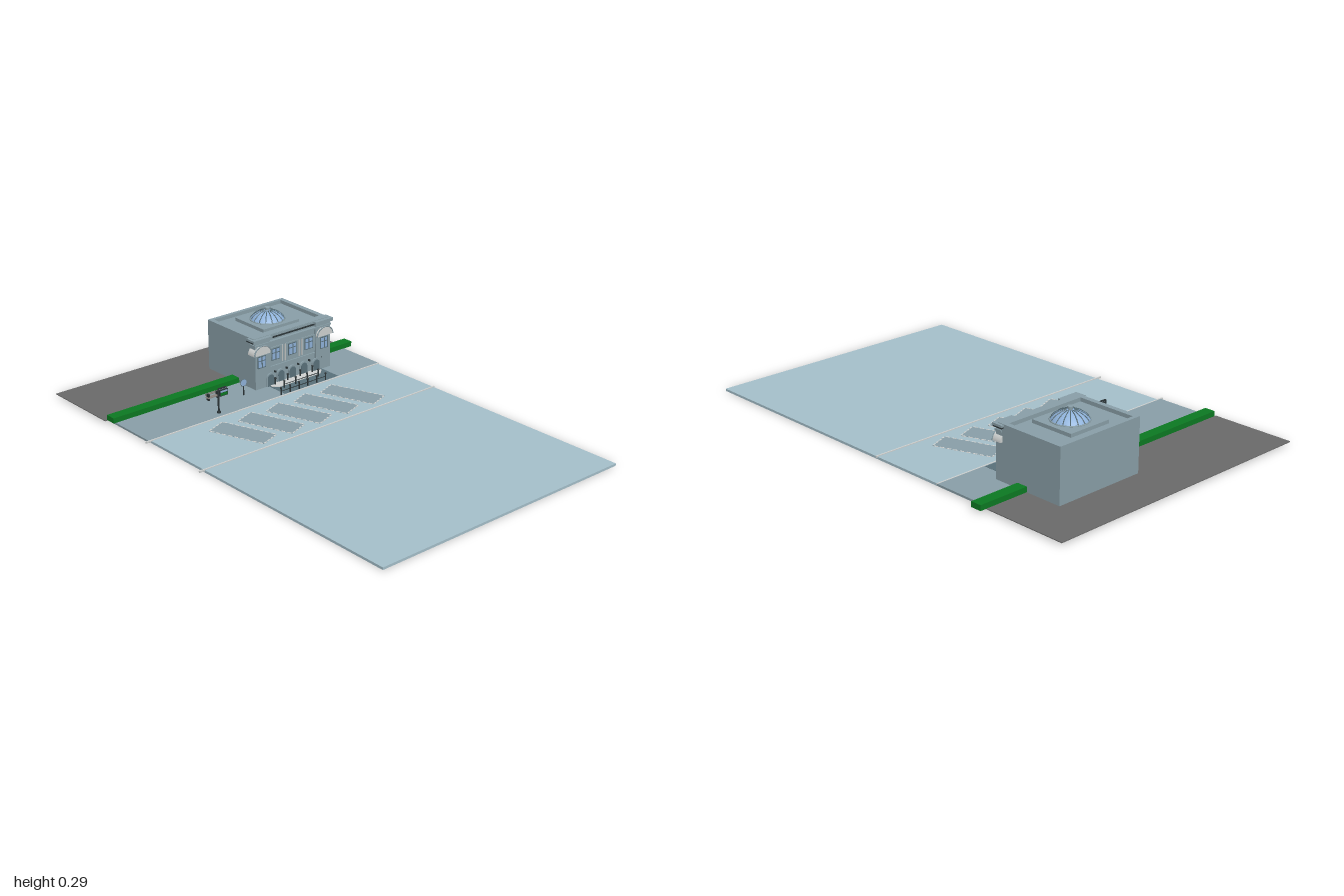
import * as THREE from 'three';

const mat = (name, color, side = THREE.FrontSide) => {
  const m = new THREE.MeshStandardMaterial({ color, side });
  m.name = name;
  return m;
};

export function createModel() {
  const road = mat('road', 0xa6c1cc), stone = mat('stone', 0x8aa0a9), asphalt = mat('asphalt', 0x6b6b6b);
  const green = mat('hedge green', 0x0c7a22), pale = mat('pale', 0xd0d3d2), dark = mat('dark metal', 0x2c3538);
  const glass = mat('glass', 0x8fb2da), shade = mat('shadowed opening', 0x5a717b), wood = mat('bench slats', 0x8c8680);

  const root = new THREE.Group();
  root.name = 'stationSquare';
  const add = (name, geo, m, x = 0, y = 0, z = 0, parent = root) => {
    const mesh = new THREE.Mesh(geo, m);
    mesh.name = name;
    mesh.position.set(x, y, z);
    parent.add(mesh);
    return mesh;
  };
  // Box given by its limits on each axis
  const box = (name, m, x0, x1, y0, y1, z0, z1, parent = root) =>
    add(name, new THREE.BoxGeometry(x1 - x0, y1 - y0, z1 - z0), m, (x0 + x1) / 2, (y0 + y1) / 2, (z0 + z1) / 2, parent);
  const group = (name) => {
    const g = new THREE.Group();
    g.name = name;
    root.add(g);
    return g;
  };
  const post = (name, m, x, y0, y1, z, r, parent) =>
    add(name, new THREE.CylinderGeometry(r, r, y1 - y0, 8), m, x, (y0 + y1) / 2, z, parent);
  // Upright plate with a round-arched head, standing on its origin
  const archGeo = (w, h, d) => {
    const s = new THREE.Shape();
    s.moveTo(-w / 2, 0);
    s.lineTo(w / 2, 0);
    s.lineTo(w / 2, h - w / 2);
    s.absarc(0, h - w / 2, w / 2, 0, Math.PI, false);
    s.closePath();
    return new THREE.ExtrudeGeometry(s, { depth: d, bevelEnabled: false, curveSegments: 10 });
  };

  // Ground
  box('roadSlab', road, -0.63, 0.6, 0, 0.01, -0.87, 1);
  box('sidewalk', stone, -0.64, 0.605, 0.004, 0.0125, -0.63, -0.35);
  box('rearLot', asphalt, -0.66, 0.62, 0.009, 0.0125, -1, -0.63);
  for (const z of [-0.35, 0]) box('curb', pale, -0.655, 0.605, 0.006, 0.0135, z - 0.003, z + 0.003);
  box('hedge', green, -0.65, 0.65, 0.012, 0.035, -0.63, -0.582);

  // Slanted parking bays with dashed borders
  for (let i = 0; i < 5; i++) {
    const bay = group('parkingBay');
    bay.position.set(-0.308 + i * 0.148, 0.0095, -0.17);
    bay.rotation.y = 0.36;
    const w = 0.102, l = 0.255;
    box('bayFloor', stone, -w / 2, w / 2, 0, 0.0015, -l / 2, l / 2, bay);
    for (const s of [-1, 1]) {
      for (let k = 0; k < 9; k++) {
        const z = -l / 2 + (k + 0.5) * l / 9;
        box('dash', pale, s * w / 2 - 0.003, s * w / 2 + 0.003, 0, 0.002, z - 0.009, z + 0.009, bay);
      }
      for (let k = 0; k < 4; k++) {
        const x = -w / 2 + (k + 0.5) * w / 4;
        box('dash', pale, x - 0.008, x + 0.008, 0, 0.002, s * l / 2 - 0.003, s * l / 2 + 0.003, bay);
      }
    }
  }

  // Building walls: main block and two projecting wings
  const b = group('building');
  box('mainBlock', stone, 0, 0.42, 0.012, 0.226, -0.795, -0.478, b);
  for (const x of [0, 0.338]) box('wing', stone, x, x + 0.082, 0.012, 0.226, -0.5, -0.468, b);
  box('stringCourse', stone, 0.082, 0.338, 0.091, 0.097, -0.48, -0.472, b);
  box('frieze', stone, -0.004, 0.424, 0.208, 0.216, -0.5, -0.464, b);
  box('frontCornice', stone, -0.012, 0.432, 0.226, 0.24, -0.51, -0.476, b);
  for (const x of [-0.012, 0.332]) box('wingCornice', stone, x, x + 0.1, 0.226, 0.24, -0.476, -0.46, b);
  box('corniceShadowLine', dark, -0.014, 0.434, 0.227, 0.231, -0.511, -0.468, b);

  // Parapet and roof centre
  box('parapetLeft', stone, 0.398, 0.42, 0.226, 0.242, -0.795, -0.478, b);
  box('parapetRight', stone, 0, 0.022, 0.226, 0.242, -0.795, -0.478, b);
  box('parapetBack', stone, 0.022, 0.398, 0.226, 0.242, -0.795, -0.778, b);
  box('parapetFront', stone, 0.022, 0.398, 0.226, 0.242, -0.515, -0.478, b);
  box('domeBase', stone, 0.107, 0.307, 0.226, 0.241, -0.738, -0.542, b);

  // Glass dome with ribs
  const dome = group('dome');
  dome.position.set(0.207, 0.24, -0.638);
  const profile = [[0.076, 0], [0.07, 0.01], [0.056, 0.023], [0.036, 0.034], [0.014, 0.04], [0, 0.041]];
  const domeGeo = new THREE.LatheGeometry(profile.map(([r, y]) => new THREE.Vector2(r, y)), 32);
  add('domeGlass', domeGeo, glass, 0, 0, 0, dome);
  const ribPath = new THREE.CatmullRomCurve3(profile.slice(0, 5).map(([r, y]) => new THREE.Vector3(r, y, 0)));
  const ribGeo = new THREE.TubeGeometry(ribPath, 8, 0.0022, 5);
  for (let i = 0; i < 16; i++) add('domeRib', ribGeo, shade, 0, 0, 0, dome).rotation.y = i * Math.PI / 8;
  add('domeRing', new THREE.TorusGeometry(0.076, 0.003, 6, 32), stone, 0, 0.002, 0, dome).rotation.x = Math.PI / 2;
  post('finial', stone, 0, 0.036, 0.05, 0, 0.01, dome);
  post('finialCap', stone, 0, 0.05, 0.054, 0, 0.013, dome);

  // Windows with frame, panes and glazing bars
  const sashWindow = (x, y, w, h, z) => {
    box('windowFrame', shade, x - w / 2 - 0.004, x + w / 2 + 0.004, y - 0.004, y + h + 0.004, z - 0.003, z + 0.002, b);
    box('windowGlass', glass, x - w / 2, x + w / 2, y, y + h, z, z + 0.003, b);
    box('windowBar', shade, x - 0.002, x + 0.002, y, y + h, z, z + 0.005, b);
    box('windowBar', shade, x - w / 2, x + w / 2, y + h * 0.62, y + h * 0.62 + 0.003, z, z + 0.005, b);
  };
  for (const x of [0.116, 0.209, 0.302]) {
    box('windowSurround', stone, x - 0.039, x + 0.039, 0.104, 0.182, -0.48, -0.474, b);
    for (const s of [-1, 1]) box('surroundTrim', pale, x + s * 0.038 - 0.0015, x + s * 0.038 + 0.0015, 0.104, 0.18, -0.48, -0.4725, b);
    sashWindow(x, 0.126, 0.038, 0.046, -0.474);
  }

  // Arched hoods over the wing windows
  for (const x of [0.034, 0.384]) {
    const hood = new THREE.Shape();
    hood.absellipse(0, 0, 0.046, 0.04, 0, Math.PI, false, 0);
    hood.closePath();
    const geo = new THREE.ExtrudeGeometry(hood, { depth: 0.044, bevelEnabled: false, curveSegments: 16 });
    add('wingHood', geo, pale, x, 0.169, -0.502, b);
    const rim = add('hoodRim', new THREE.TorusGeometry(0.045, 0.003, 5, 20, Math.PI), stone, x, 0.169, -0.459, b);
    rim.scale.y = 0.9;
    sashWindow(x, 0.111, 0.036, 0.046, -0.468);
  }

  // Ground floor arches with small wall lamps above
  for (let i = 0; i < 5; i++) {
    const x = 0.08 + i * 0.0645, z = i % 4 ? -0.478 : -0.47;
    add('archSurround', archGeo(0.044, 0.06, 0.006), stone, x, 0.012, z, b);
    add('archOpening', archGeo(0.034, 0.053, 0.008), shade, x, 0.012, z, b);
    box('wallLamp', dark, x + 0.029, x + 0.034, 0.064, 0.072, -0.479, -0.468, b);
  }

  // Terrace: dark paving, pale landing and bollards with rails
  const t = group('terrace');
  box('terracePaving', shade, 0.07, 0.37, 0.012, 0.0135, -0.478, -0.358, t);
  const landing = new THREE.Shape([[0.075, 0.475], [0.355, 0.475], [0.355, 0.45], [0.33, 0.427], [0.1, 0.427], [0.075, 0.45]]
    .map(([x, y]) => new THREE.Vector2(x, y)));
  const landingGeo = new THREE.ExtrudeGeometry(landing, { depth: 0.004, bevelEnabled: false });
  add('landing', landingGeo.rotateX(-Math.PI / 2), pale, 0, 0.0125, 0, t);
  const rows = [[-0.36, 0.05, 0.05, 6], [-0.41, 0.11, 0.064, 4], [-0.459, 0.1, 0.07, 4]];
  for (const [z, x0, step, n] of rows) {
    for (let i = 0; i < n; i++) {
      post('bollard', dark, x0 + i * step, 0.012, 0.044, z, 0.0032, t);
      add('bollardCap', new THREE.SphereGeometry(0.005, 8, 6), dark, x0 + i * step, 0.044, z, t);
    }
    if (z > -0.45) box('rail', dark, x0, x0 + (n - 1) * step, 0.028, 0.0305, z - 0.001, z + 0.001, t);
  }

  // Street lamp with hanging sign
  const lamp = group('lampPost');
  post('lampPole', dark, -0.263, 0.012, 0.12, -0.385, 0.004, lamp);
  post('lampFoot', dark, -0.263, 0.012, 0.02, -0.385, 0.008, lamp);
  box('lampArm', dark, -0.263, -0.222, 0.117, 0.122, -0.388, -0.382, lamp);
  box('signBoard', dark, -0.257, -0.216, 0.084, 0.112, -0.389, -0.381, lamp);
  for (const z of [-0.3898, -0.3812]) {
    box('signLower', green, -0.254, -0.219, 0.087, 0.099, z, z + 0.001, lamp);
    box('signUpper', glass, -0.254, -0.219, 0.101, 0.109, z, z + 0.001, lamp);
  }

  // Round sign
  const sign = group('roundSign');
  post('signPole', dark, -0.07, 0.012, 0.056, -0.463, 0.0025, sign);
  add('signDisc', new THREE.CylinderGeometry(0.015, 0.015, 0.004, 20), glass, -0.07, 0.069, -0.463, sign).rotation.x = Math.PI / 2;
  add('signRim', new THREE.TorusGeometry(0.015, 0.0018, 6, 20), shade, -0.07, 0.069, -0.463, sign);

  // Bench
  const bench = group('bench');
  for (const x of [-0.218, -0.17]) box('benchLeg', dark, x - 0.003, x + 0.003, 0.012, 0.042, -0.524, -0.508, bench);
  for (let i = 0; i < 3; i++) box('seatSlat', wood, -0.227, -0.161, 0.025, 0.028, -0.522 + i * 0.007, -0.517 + i * 0.007, bench);
  for (const y of [0.032, 0.038]) box('backSlat', wood, -0.227, -0.161, y, y + 0.004, -0.526, -0.523, bench);

  return root;
}
